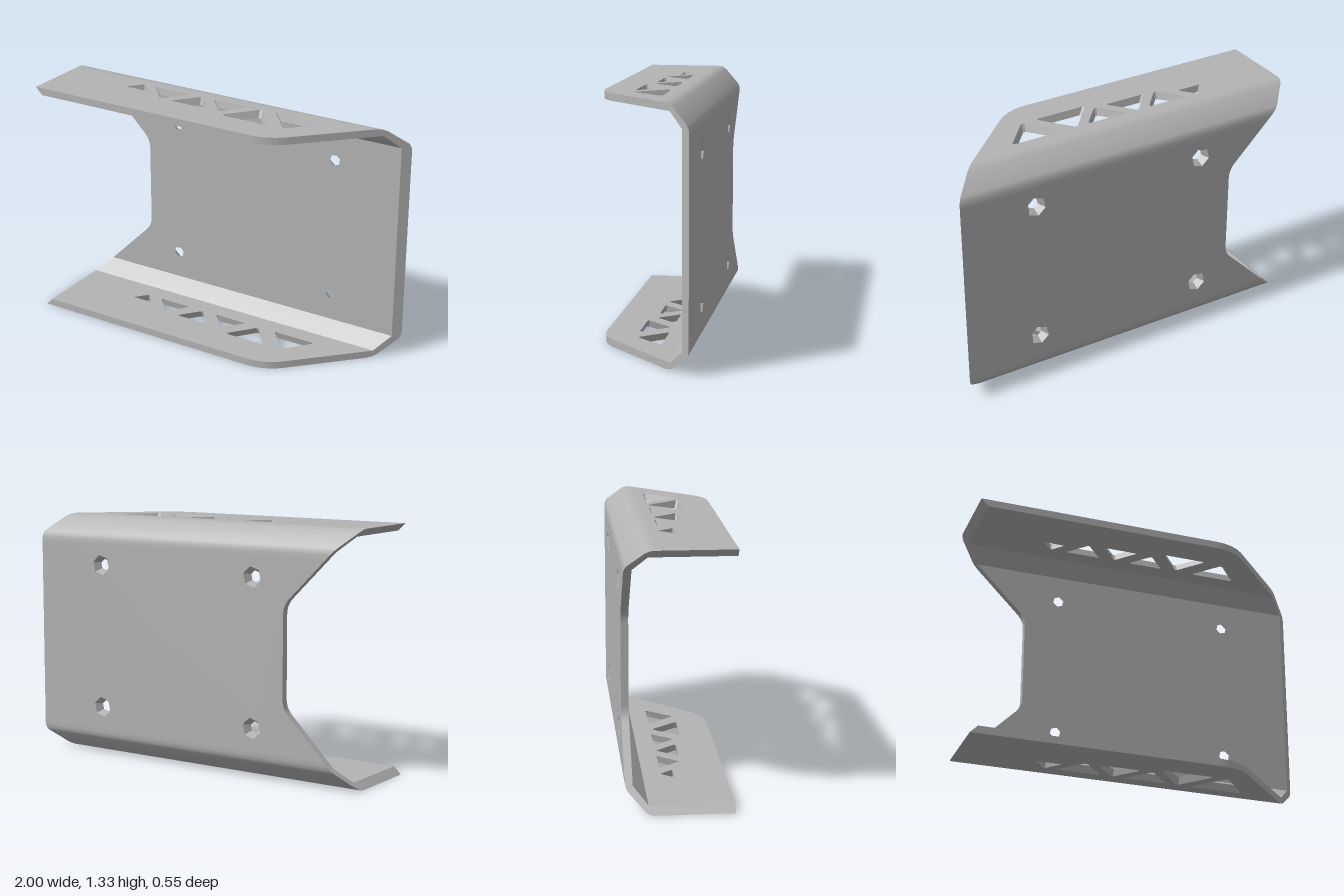
import * as THREE from 'three';
import { toCreasedNormals } from 'three/addons/utils/BufferGeometryUtils.js';

const H = 1.334;    // overall height
const BACK = 0.273; // half depth
const T = 0.04;     // sheet thickness

const moveVertices = (geo, rule) => {
  const p = geo.attributes.position, v = new THREE.Vector3();
  for (let i = 0; i < p.count; i++) {
    rule(v.fromBufferAttribute(p, i));
    p.setXYZ(i, v.x, v.y, v.z);
  }
};

// Flat sheet whose holes narrow toward the inner face and whose outermost end is mitred at 45 degrees
function sheet(shape, holes, taper, outerZ) {
  shape.holes = holes.map(h => new THREE.Path(h));
  const centres = holes.map(h =>
    h.reduce((s, q) => s.add(q), new THREE.Vector2()).divideScalar(h.length));
  const geo = new THREE.ExtrudeGeometry(shape, { depth: T, bevelEnabled: false, curveSegments: 8 });
  moveVertices(geo, v => {
    const d = Math.abs(v.z - outerZ);
    if (Math.abs(v.x) > 0.9999) v.x -= Math.sign(v.x) * d;
    if (d < T / 2) return;
    holes.forEach((h, k) => {
      if (!h.some(q => Math.hypot(q.x - v.x, q.y - v.y) < 1e-4)) return;
      v.x = centres[k].x + (v.x - centres[k].x) * taper;
      v.y = centres[k].y + (v.y - centres[k].y) * taper;
    });
  });
  return geo;
}

// Triangle with clipped corners, given as three [x, z] points
function triangleHole(corners) {
  const c = corners.map(([x, z]) => new THREE.Vector2(x, -z));
  return c.flatMap((p, i) => [
    p.clone().lerp(c[(i + 2) % 3], 0.06),
    p.clone().lerp(c[(i + 1) % 3], 0.06),
  ]);
}

const hexHole = (x, y, r) => Array.from({ length: 6 }, (_, i) => {
  const a = i * Math.PI / 3 + 0.3;
  return new THREE.Vector2(x + r * Math.cos(a), y + r * Math.sin(a));
});

// Each truss cutout: base from x0 to x1 at baseZ, apex at apexZ
const CUTOUTS = [
  [-0.585, -0.44, 0.01, -0.075],
  [-0.445, -0.21, -0.07, 0.07],
  [-0.26, -0.025, 0.067, -0.075],
  [-0.075, 0.16, -0.07, 0.07],
  [0.075, 0.375, 0.108, -0.075],
  [0.3, 0.605, -0.073, 0.11],
];

function flangeGeometry(top) {
  const s = new THREE.Shape();
  s.moveTo(-1, 0.1);
  s.lineTo(-1, -BACK);
  s.lineTo(0.34, -BACK);
  s.quadraticCurveTo(0.454, -BACK, 0.537, -0.19);
  s.lineTo(0.827, 0.1);
  const holes = CUTOUTS.map(([x0, x1, base, apex]) =>
    triangleHole([[x0, base], [x1, base], [(x0 + x1) / 2, apex]]));
  const geo = sheet(s, holes, 0.82, top ? T : 0);
  geo.rotateX(-Math.PI / 2);
  geo.translate(0, top ? H - T : 0, 0);
  return geo;
}

function backPlateGeometry() {
  const s = new THREE.Shape();
  s.moveTo(1, 0.16);
  s.lineTo(1, H - 0.16);
  s.lineTo(-0.84, H - 0.16);
  s.lineTo(-0.635, H - 0.365);
  s.quadraticCurveTo(-0.6, H - 0.4, -0.6, H - 0.45);
  s.lineTo(-0.6, 0.45);
  s.quadraticCurveTo(-0.6, 0.4, -0.635, 0.365);
  s.lineTo(-0.84, 0.16);
  const holes = [];
  for (const x of [-0.41, 0.58])
    for (const y of [0.275, 1.067]) holes.push(hexHole(x, y, 0.056));
  const geo = sheet(s, holes, 0.55, 0);
  geo.translate(0, 0, -BACK);
  return geo;
}

// Bent corner: [z, distance from the outer face], soft outside and sharp inside
const BEND = [
  [-0.1, 0], [-0.135, 0], [-0.158, 0.005], [-0.178, 0.017], [-0.26, 0.094],
  [-0.268, 0.108], [-0.273, 0.13], [-0.273, 0.16],
  [-0.233, 0.16], [-0.233, 0.117], [-0.16, 0.04], [-0.1, 0.04],
];

function bendGeometry(top) {
  const s = new THREE.Shape(BEND.map(([z, d]) => new THREE.Vector2(-z, top ? H - d : d)));
  const geo = new THREE.ExtrudeGeometry(s, { depth: 1, bevelEnabled: false });
  geo.rotateY(Math.PI / 2);
  // Slanted ends: left follows the height, right follows the depth
  moveVertices(geo, v => {
    v.x = v.x < 0.5 ? -1 + Math.min(v.y, H - v.y) : 1 - (v.z + BACK);
  });
  return geo;
}

export function createModel() {
  const group = new THREE.Group();
  group.name = 'channelBracket';
  const metal = new THREE.MeshStandardMaterial({ color: 0xb3b3b3 });
  metal.name = 'greyMetal';
  const add = (name, geo) => {
    const mesh = new THREE.Mesh(toCreasedNormals(geo, 0.4), metal);
    mesh.name = name;
    group.add(mesh);
  };
  add('backPlate', backPlateGeometry());
  for (const top of [false, true]) {
    const side = top ? 'top' : 'bottom';
    add(side + 'Flange', flangeGeometry(top));
    add(side + 'Bend', bendGeometry(top));
  }
  return group;
}
